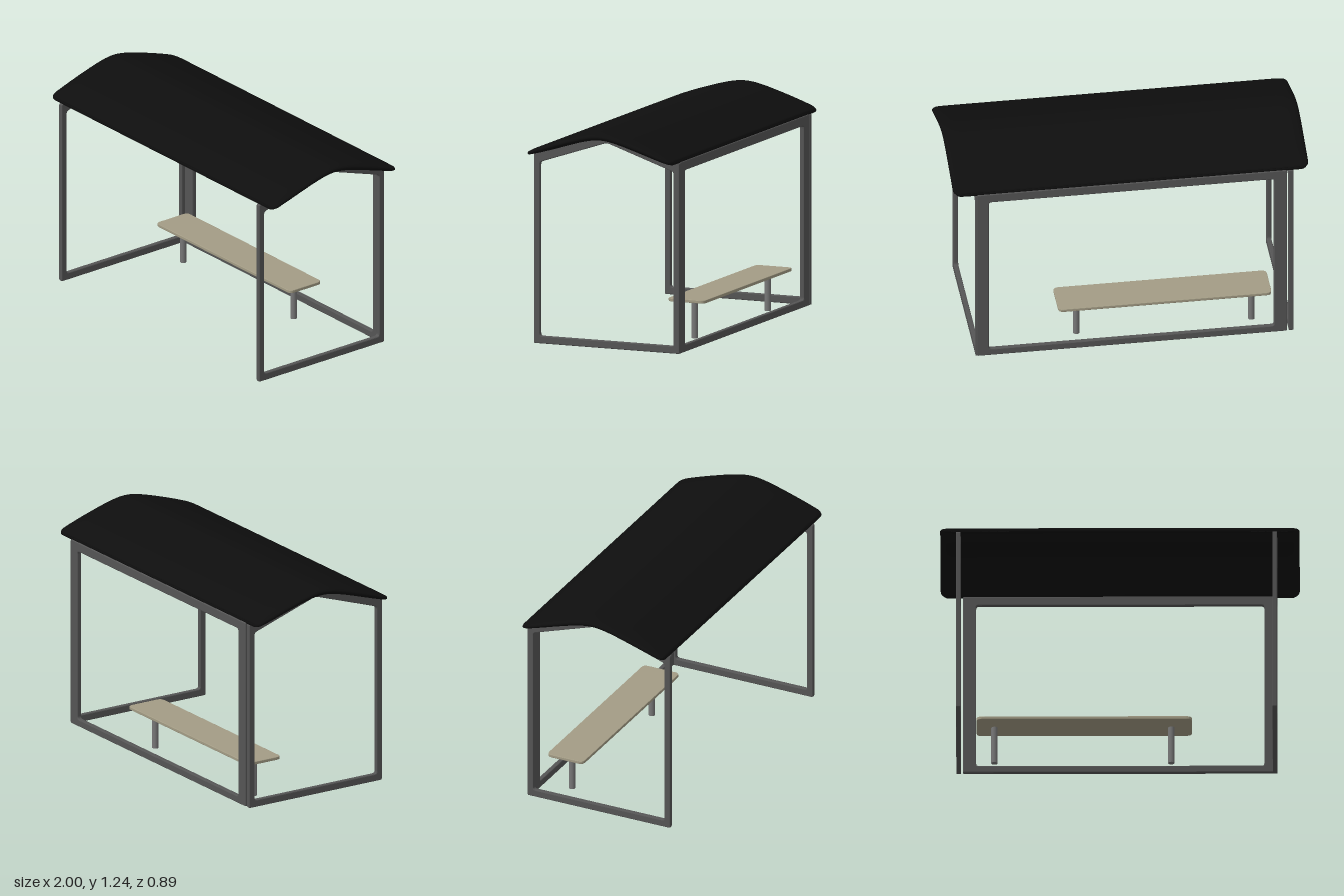
import * as THREE from 'three';

const mat = (color) => new THREE.MeshStandardMaterial({ color });

// Closed outline through the points with softly rounded corners
function rounded(path, pts, r) {
  const v = pts.map(([x, y]) => new THREE.Vector2(x, y));
  v.forEach((p, i) => {
    const prev = v[(i + v.length - 1) % v.length], next = v[(i + 1) % v.length];
    const a = p.clone().add(prev.clone().sub(p).setLength(r));
    const b = p.clone().add(next.clone().sub(p).setLength(r));
    if (i === 0) path.moveTo(a.x, a.y); else path.lineTo(a.x, a.y);
    path.quadraticCurveTo(p.x, p.y, b.x, b.y);
  });
  path.closePath();
  return path;
}

const rect = (x0, x1, y0, y1) => [[x0, y0], [x1, y0], [x1, y1], [x0, y1]];

// Bevelled plate, optionally with an opening, centred on its thickness
function plate(outer, inner, depth, r, bevel) {
  const shape = rounded(new THREE.Shape(), outer, r);
  if (inner) shape.holes.push(rounded(new THREE.Path(), inner, 0.015));
  const geo = new THREE.ExtrudeGeometry(shape, {
    depth: depth - 2 * bevel, bevelEnabled: true, bevelThickness: bevel,
    bevelSize: bevel, bevelOffset: -bevel, bevelSegments: 2, curveSegments: 4,
  });
  return geo.translate(0, 0, -(depth - 2 * bevel) / 2);
}

// Curved roof slab: rounded in plan, ridged across z, thinner towards its rim
function roofGeometry() {
  const hz = 0.445, r = 0.045;
  const geo = new THREE.BoxGeometry(2, 2, 2, 36, 2, 44);
  const p = geo.attributes.position;
  for (let i = 0; i < p.count; i++) {
    const u = p.getX(i), side = p.getY(i), w = p.getZ(i);
    const ease = (t) => Math.sign(t) * (1 - Math.pow(1 - Math.abs(t), 1.5));
    let z = ease(w) * hz;
    const over = Math.max(0, Math.abs(z) - (hz - r));
    const hx = 1 - r + Math.sqrt(Math.max(0, r * r - over * over));
    let x = ease(u) * hx;
    const dz = Math.min(1, (hz - Math.abs(z)) / 0.2);
    const dx = Math.min(1, (hx - Math.abs(x)) / 0.08);
    const half = 0.007 + 0.0145 * Math.sqrt(dz * (2 - dz) * dx * (2 - dx));
    const y = 1.2555 - Math.hypot(0.034, 0.34 * z) + half * side;
    if (Math.abs(u) === 1) x -= Math.sign(u) * 0.006 * Math.abs(side);
    if (Math.abs(w) === 1) z -= Math.sign(w) * 0.006 * Math.abs(side);
    p.setXYZ(i, x, y, z - 0.003);
  }
  geo.computeVertexNormals();
  return geo;
}

export function createModel() {
  const group = new THREE.Group();
  const steel = mat(0x555555), legGrey = mat(0x777777), wood = mat(0xa39c85), black = mat(0x0e0e0e);
  const add = (name, geo, material, x = 0, y = 0, z = 0) => {
    const mesh = new THREE.Mesh(geo, material);
    mesh.name = name;
    mesh.position.set(x, y, z);
    group.add(mesh);
    return mesh;
  };

  add('roof', roofGeometry(), black);

  // Gabled frames at both ends
  const gable = (w, foot, eave, ridge) => [[-w, foot], [w, foot], [w, eave], [0, ridge], [-w, eave]];
  const sideGeo = plate(gable(0.445, 0.013, 1.09, 1.213), gable(0.409, 0.055, 1.038, 1.174), 0.027, 0.008, 0.005);
  sideGeo.rotateY(-Math.PI / 2);
  add('rightSideFrame', sideGeo, steel, -0.899);
  add('leftSideFrame', sideGeo, steel, 0.863);

  // Rectangular frame along the back
  const backGeo = plate(rect(-0.876, 0.868, 0.014, 1.094), rect(-0.802, 0.802, 0.055, 1.04), 0.027, 0.008, 0.005);
  add('backFrame', backGeo, steel, 0, 0, -0.434);

  // Bench seat on two posts
  const seatGeo = plate(rect(-0.8, 0.4, -0.113, 0.113), null, 0.018, 0.03, 0.003);
  seatGeo.rotateX(-Math.PI / 2);
  add('benchSeat', seatGeo, wood, 0, 0.226, -0.268);
  const legGeo = new THREE.CylinderGeometry(0.018, 0.018, 0.22, 20);
  for (const x of [-0.7, 0.285]) add('benchLeg', legGeo, legGrey, x, 0.11, -0.272);

  return group;
}
